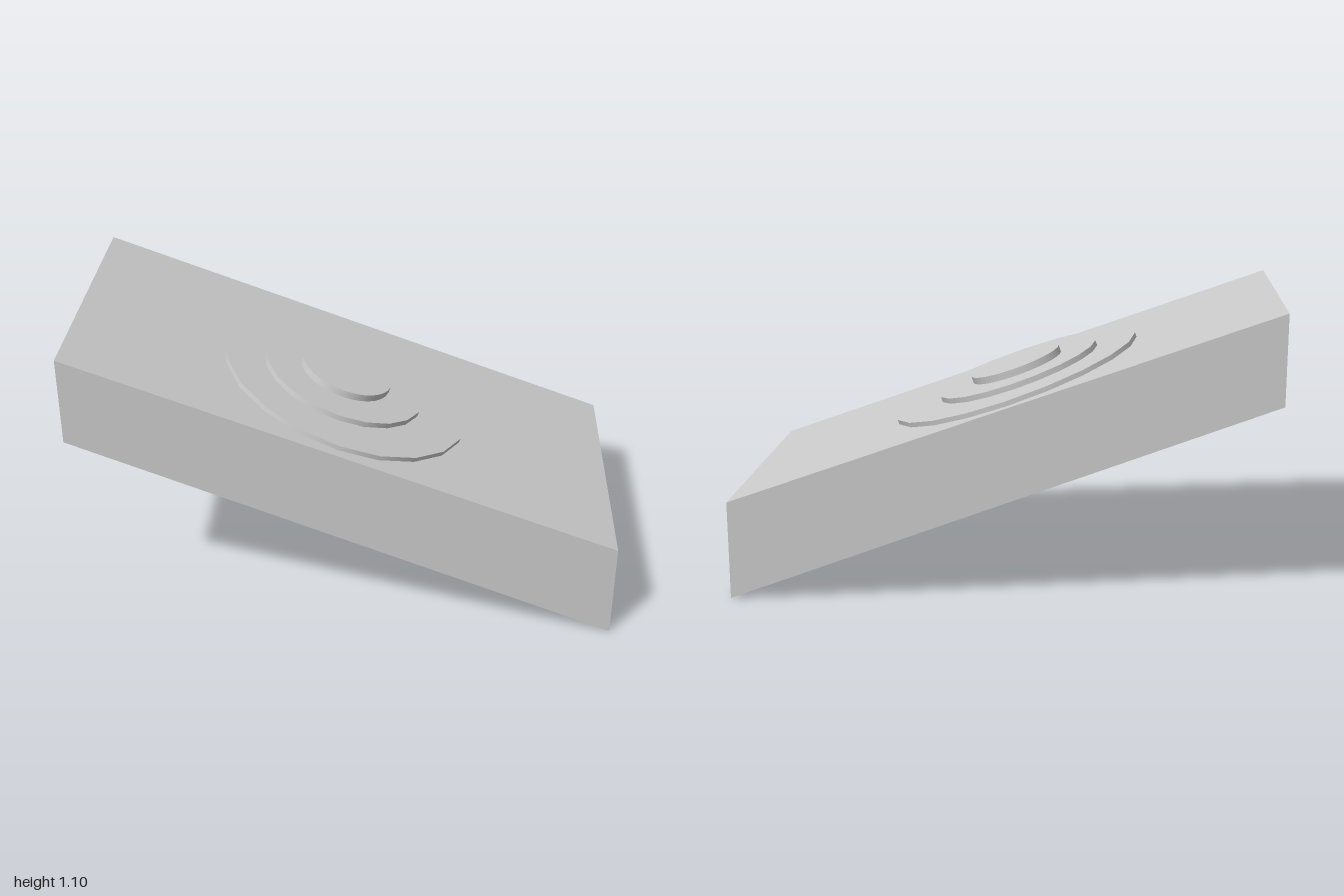
import * as THREE from 'three';

export function createModel() {
  const model = new THREE.Group();
  const material = new THREE.MeshStandardMaterial({ color: 0xcccccc });

  // Sloping slab with vertical ends
  const depth = 1.06;
  const profile = new THREE.Shape([[-1, 0.765], [1, 0], [1, 0.37], [-1, 1.095]].map(([x, y]) => new THREE.Vector2(x, y)));
  const slabGeometry = new THREE.ExtrudeGeometry(profile, { depth, bevelEnabled: false });
  slabGeometry.translate(0, 0, -depth / 2);
  const slab = new THREE.Mesh(slabGeometry, material);
  slab.name = 'slopingSlab';
  model.add(slab);

  // Stepped discs lying on the slope, each sunk a little into the slab
  const discs = new THREE.Group();
  discs.name = 'steppedDiscs';
  discs.position.set(0, 0.7325, 0);
  discs.rotation.z = -Math.atan2(0.725, 2);
  const sunk = 0.02;
  const addDisc = (name, radius, top, along, sides) => {
    const disc = new THREE.Mesh(new THREE.CylinderGeometry(radius, radius, top + sunk, sides), material);
    disc.name = name;
    disc.position.set(along, (top - sunk) / 2, 0);
    discs.add(disc);
  };
  addDisc('largeDisc', 0.49, 0.018, -0.023, 20);
  addDisc('middleDisc', 0.32, 0.039, -0.04, 20);
  addDisc('smallDisc', 0.18, 0.066, -0.04, 32);
  model.add(discs);

  return model;
}
